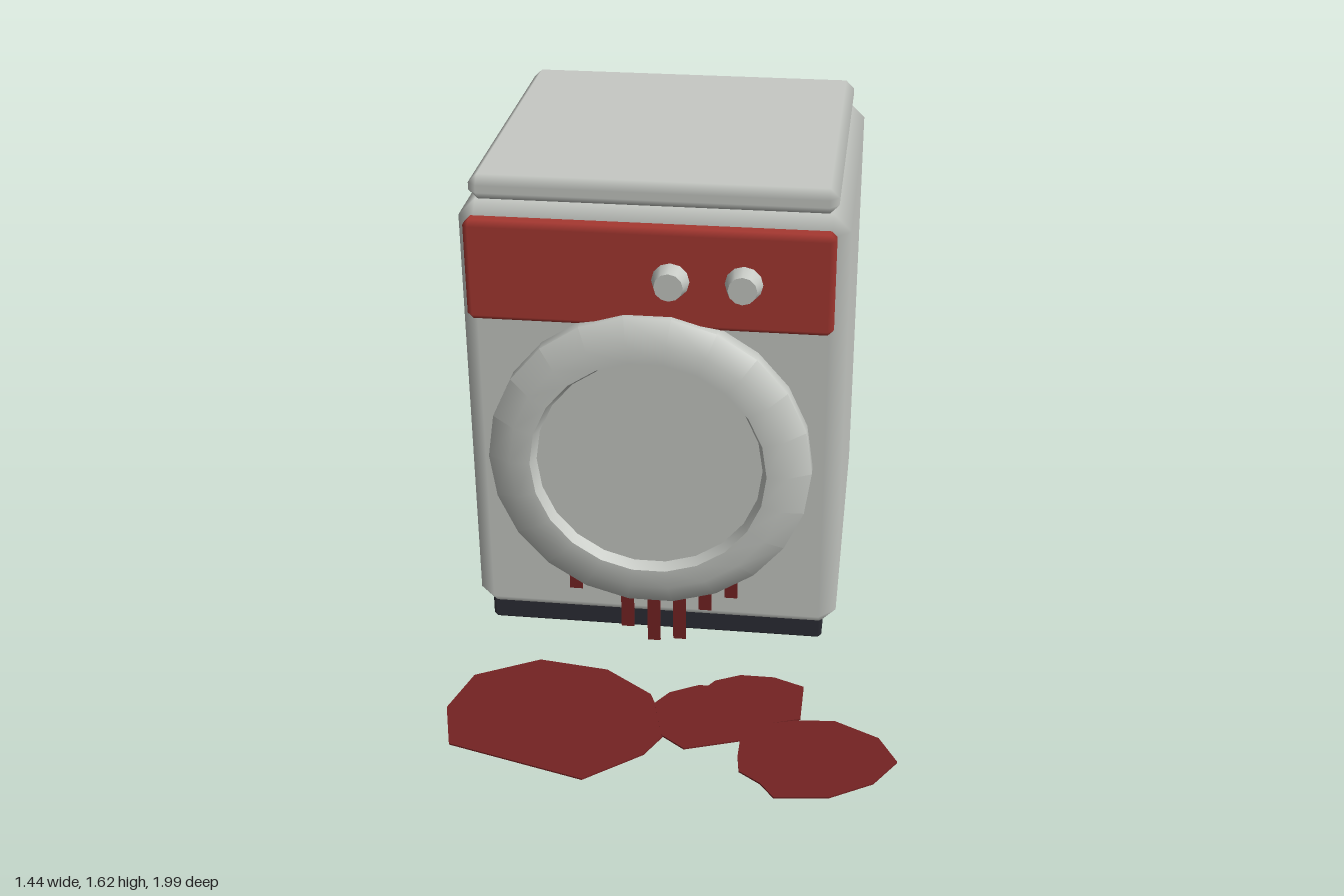
import * as THREE from 'three';
import { ConvexGeometry } from 'three/addons/geometries/ConvexGeometry.js';
import { toCreasedNormals } from 'three/addons/utils/BufferGeometryUtils.js';

const mat = (name, color, side = THREE.FrontSide) => {
  const m = new THREE.MeshStandardMaterial({ color, side });
  m.name = name;
  return m;
};

// Box with one chamfer per edge; normals follow the flat faces so the chamfers shade softly.
function bevelBox(min, max, bevel) {
  const half = max.map((v, i) => (v - min[i]) / 2);
  const points = [];
  for (const sx of [-1, 1]) for (const sy of [-1, 1]) for (const sz of [-1, 1])
    for (let axis = 0; axis < 3; axis++) {
      const s = [sx, sy, sz];
      points.push(new THREE.Vector3(...half.map((h, i) => s[i] * (i === axis ? h : h - bevel))));
    }
  const g = new ConvexGeometry(points);
  const p = g.attributes.position, n = g.attributes.normal;
  for (let i = 0; i < p.count; i++) {
    const v = [p.getX(i), p.getY(i), p.getZ(i)];
    n.setXYZ(i, ...v.map((c, a) => (Math.abs(c) > half[a] - bevel / 2 ? Math.sign(c) : 0)));
  }
  return g.translate(...min.map((v, i) => (v + max[i]) / 2));
}

export function createModel() {
  const model = new THREE.Group();
  model.name = 'washingMachine';
  const enamel = mat('enamelGrey', 0xc6c9c4);
  const red = mat('panelRed', 0xa63831);
  const dark = mat('plinthDark', 0x2c2d35);
  const stain = mat('stainRed', 0x742323, THREE.DoubleSide);

  const add = (name, geometry, material, parent = model) => {
    const mesh = new THREE.Mesh(geometry, material);
    mesh.name = name;
    parent.add(mesh);
    return mesh;
  };

  // Cabinet
  add('plinth', bevelBox([-0.68, 0.005, -0.96], [0.45, 0.09, 0.14], 0.012), dark);
  add('cabinet', bevelBox([-0.72, 0.065, -1], [0.495, 1.545, 0.18], 0.055), enamel);
  add('lid', bevelBox([-0.685, 1.545, -0.965], [0.455, 1.625, 0.15], 0.028), enamel);
  add('controlPanel', bevelBox([-0.685, 1.185, 0.17], [0.455, 1.515, 0.24], 0.018), red);

  // Control knobs
  for (const x of [-0.045, 0.18]) {
    const knob = new THREE.CylinderGeometry(0.045, 0.061, 0.06, 12).rotateX(Math.PI / 2);
    add('knob', toCreasedNormals(knob, 0.8), enamel).position.set(x, 1.35, 0.262);
  }

  // Round door: a chamfered ring around a shallow recessed pane
  const door = new THREE.Group();
  door.name = 'door';
  door.position.set(-0.115, 0.715, 0);
  model.add(door);
  const profile = [[0.36, 0.175], [0.505, 0.19], [0.52, 0.21], [0.52, 0.26], [0.445, 0.298],
    [0.38, 0.298], [0.362, 0.255]].map(([r, z]) => new THREE.Vector2(r, z));
  const ring = new THREE.LatheGeometry(profile, 22).rotateX(Math.PI / 2).rotateZ(Math.PI / 2);
  // Turn the ring so that a flat side is on top
  ring.rotateZ(0);
  add('doorRing', toCreasedNormals(ring, 1.1), enamel, door);
  add('doorPane', new THREE.CircleGeometry(0.366, 22).translate(0, 0, 0.26), enamel, door);

  // Drips below the door: [centre x, lower end]
  const drips = [[-0.375, 0.19], [-0.202, 0.05], [-0.113, 0], [-0.026, 0.012], [0.06, 0.135], [0.147, 0.19]];
  for (const [x, y] of drips) {
    add('drip', new THREE.BoxGeometry(0.043, 0.3 - y, 0.008), stain).position.set(x, (0.3 + y) / 2, 0.2);
  }

  // Puddles on the floor, outlined as [x, z]
  const puddles = [
    [[-0.47, 0.38], [-0.24, 0.41], [-0.08, 0.525], [-0.06, 0.57], [-0.01, 0.73], [-0.06, 0.83],
      [-0.23, 0.97], [-0.67, 0.85], [-0.72, 0.67], [-0.67, 0.49]],
    [[-0.06, 0.57], [-0.02, 0.51], [0.07, 0.46], [0.1, 0.46], [0.12, 0.43], [0.2, 0.39], [0.31, 0.39],
      [0.41, 0.43], [0.41, 0.6], [0.3, 0.64], [0.23, 0.73], [0.06, 0.79], [-0.02, 0.73]],
    [[0.3, 0.64], [0.4, 0.61], [0.52, 0.6], [0.66, 0.67], [0.72, 0.78], [0.65, 0.89], [0.52, 0.97],
      [0.355, 0.99], [0.31, 0.93], [0.24, 0.88], [0.23, 0.81], [0.23, 0.72]],
  ];
  puddles.forEach((outline, i) => {
    const shape = new THREE.Shape(outline.map(([x, z]) => new THREE.Vector2(x, -z)));
    const slab = new THREE.ExtrudeGeometry(shape, { depth: 0.005, bevelEnabled: false }).rotateX(-Math.PI / 2);
    add('puddle', slab, stain).position.y = 0.009 + i * 0.001;
  });

  return model;
}
